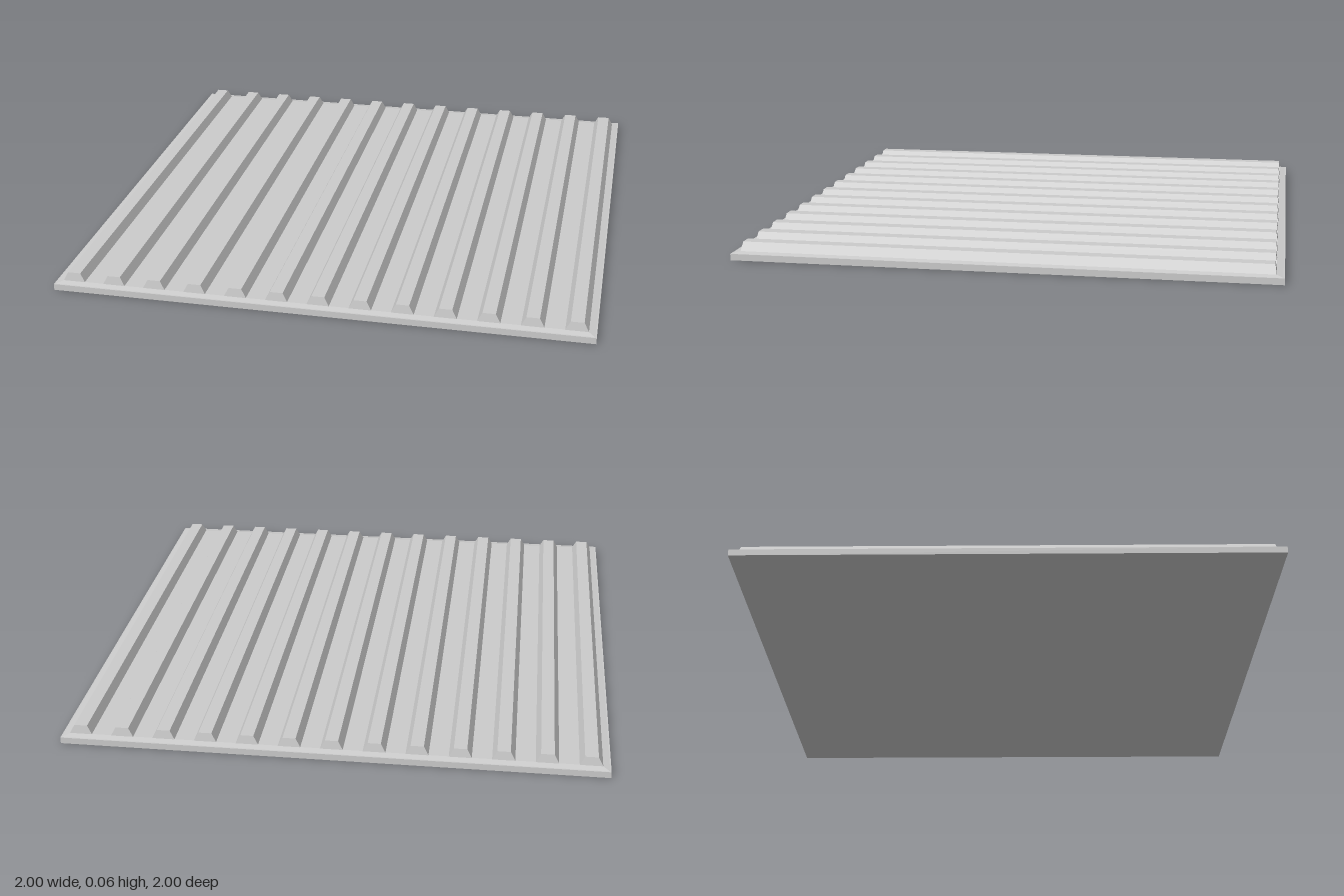
import * as THREE from 'three';

const material = new THREE.MeshStandardMaterial({ color: 0xcccccc, flatShading: true });

// Box from y0 to y1 whose top face is narrower than its bottom face
function taperedBox(name, bottom, top, y0, y1) {
  const geometry = new THREE.BoxGeometry(1, 1, 1);
  const p = geometry.attributes.position;
  for (let i = 0; i < p.count; i++) {
    const isTop = p.getY(i) > 0;
    const [w, d] = isTop ? top : bottom;
    p.setXYZ(i, Math.sign(p.getX(i)) * w / 2, isTop ? y1 : y0, Math.sign(p.getZ(i)) * d / 2);
  }
  geometry.computeVertexNormals();
  const mesh = new THREE.Mesh(geometry, material);
  mesh.name = name;
  return mesh;
}

export function createModel() {
  const group = new THREE.Group();
  group.name = 'ribbedPanel';

  // Flat base plate and the slightly raised field between the ribs
  group.add(taperedBox('basePlate', [2, 2], [2, 2], 0, 0.024));
  group.add(taperedBox('raisedField', [1.99, 1.99], [1.94, 1.94], 0.024, 0.029));

  // Evenly spaced trapezoidal ribs running front to back
  const ribCount = 13;
  const pitch = 0.155;
  for (let i = 0; i < ribCount; i++) {
    const rib = taperedBox('rib', [0.09, 1.945], [0.048, 1.932], 0.022, 0.061);
    rib.position.x = (i - (ribCount - 1) / 2) * pitch;
    group.add(rib);
  }
  return group;
}
